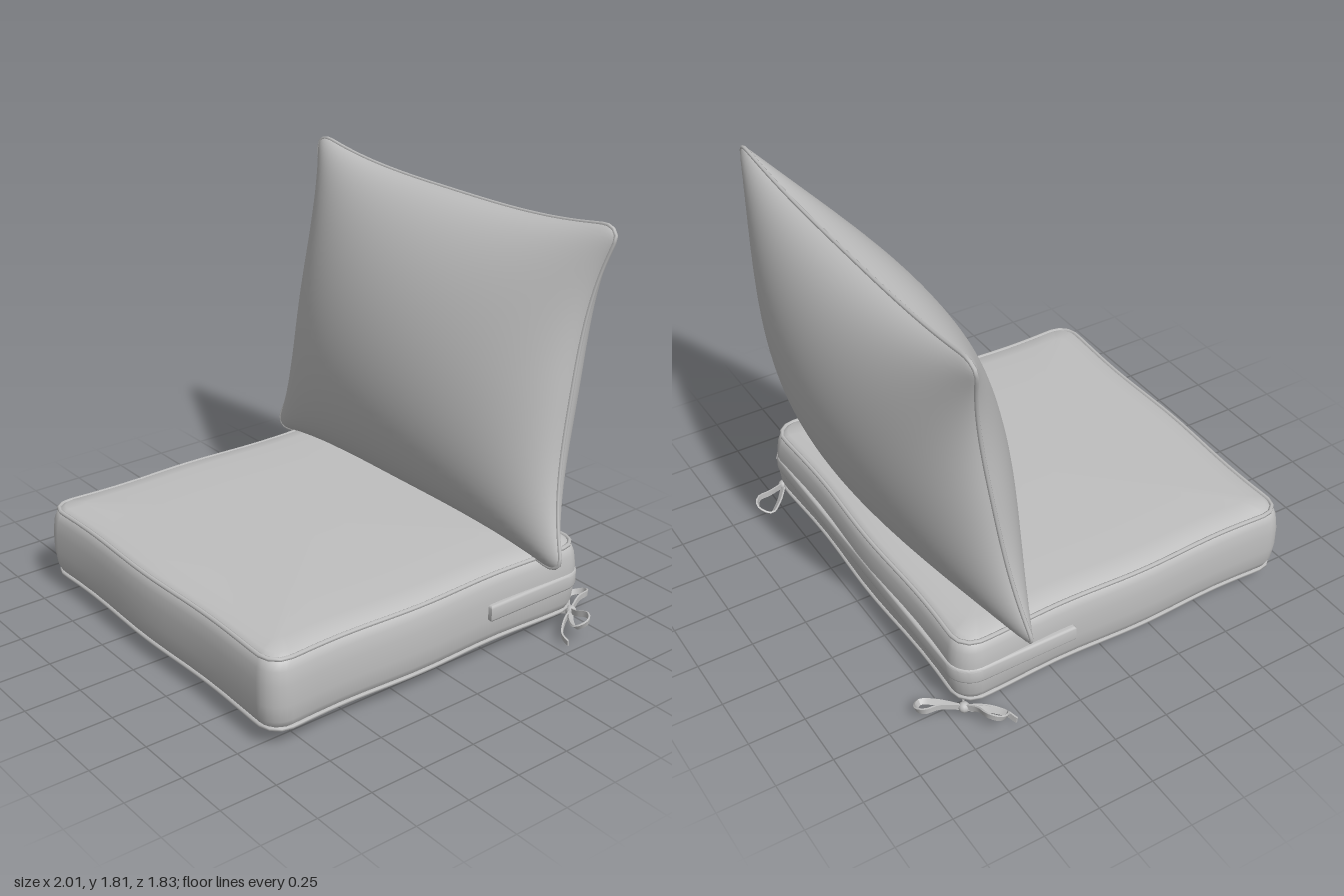
import * as THREE from 'three';
import { toCreasedNormals } from 'three/addons/utils/BufferGeometryUtils.js';

const fabric = new THREE.MeshStandardMaterial({ color: 0xbfbfbf });
fabric.name = 'grey fabric';

function add(parent, name, geometry) {
  const mesh = new THREE.Mesh(geometry, fabric);
  mesh.name = name;
  parent.add(mesh);
  return mesh;
}

function piping(points, radius) {
  const curve = new THREE.CatmullRomCurve3(points, true);
  return new THREE.TubeGeometry(curve, points.length * 2, radius, 6, true);
}

// ---- Seat: rounded-rectangle rings with slightly uneven edges ----
const HX = 0.85, HZ = 0.815, CZ = 0.09, CORNER = 0.1;

function seatRing(inset, y) {
  const points = [], r = Math.max(CORNER - inset * 0.6, 0.02);
  const hx = HX - inset, hz = HZ - inset, arc = 6, edge = 12;
  const signs = [[1, 1], [-1, 1], [-1, -1], [1, -1]];
  const corner = (q, k) => {
    const a = (q + k / arc) * Math.PI / 2;
    return [signs[q][0] * (hx - r) + r * Math.cos(a), signs[q][1] * (hz - r) + r * Math.sin(a)];
  };
  for (let q = 0; q < 4; q++) {
    for (let k = 0; k <= arc; k++) points.push(corner(q, k));
    const a = corner(q, arc), b = corner((q + 1) % 4, 0);
    for (let k = 1; k < edge; k++) {
      const t = k / edge;
      points.push([a[0] + (b[0] - a[0]) * t, a[1] + (b[1] - a[1]) * t]);
    }
  }
  return points.map(([x, z]) => new THREE.Vector3(
    x * (1 + 0.008 * Math.sin(z * 8 + 1)), y, CZ + z * (1 + 0.008 * Math.sin(x * 7 + 2))));
}

function seatGeometry() {
  const profile = [
    [0.8, 0.02], [0.4, 0.022], [0.2, 0.03], [0.1, 0.045], [0.05, 0.065], [0.02, 0.09], [0.003, 0.13],
    [-0.005, 0.2], [-0.005, 0.29], [0.002, 0.35], [0.015, 0.385], [0.045, 0.408], [0.12, 0.42],
    [0.4, 0.425], [0.8, 0.426],
  ];
  const rings = profile.map(([inset, y]) => seatRing(inset, y));
  const n = rings[0].length, positions = [], index = [];
  rings.flat().forEach((p) => positions.push(p.x, p.y, p.z));
  for (let i = 0; i < rings.length - 1; i++) {
    for (let j = 0; j < n; j++) {
      const a = i * n + j, b = i * n + (j + 1) % n;
      index.push(a, a + n, b, b, a + n, b + n);
    }
  }
  // Close the small middle openings
  const bottom = positions.length / 3, top = bottom + 1, last = (rings.length - 1) * n;
  positions.push(0, 0.02, CZ, 0, 0.426, CZ);
  for (let j = 0; j < n; j++) {
    const k = (j + 1) % n;
    index.push(bottom, j, k, top, last + k, last + j);
  }
  const g = new THREE.BufferGeometry();
  g.setAttribute('position', new THREE.Float32BufferAttribute(positions, 3));
  g.setIndex(index);
  g.computeVertexNormals();
  return g;
}

// Zip flap wrapping the back and part of both sides
function zipFlapGeometry() {
  const s = new THREE.Shape();
  const x = 0.858, z = 0.728, r = 0.1, t = 0.04;
  s.moveTo(x, 0.2);
  s.lineTo(x, z - r);
  s.absarc(x - r, z - r, r, 0, Math.PI / 2, false);
  s.lineTo(-x + r, z);
  s.absarc(-x + r, z - r, r, Math.PI / 2, Math.PI, false);
  s.lineTo(-x, 0.2);
  s.lineTo(-x + t, 0.2);
  s.lineTo(-x + t, z - r);
  s.absarc(-x + r, z - r, r - t, Math.PI, Math.PI / 2, true);
  s.lineTo(x - r, z - t);
  s.absarc(x - r, z - r, r - t, Math.PI / 2, 0, true);
  s.lineTo(x - t, 0.2);
  const g = new THREE.ExtrudeGeometry(s, {
    depth: 0.05, bevelSize: 0.012, bevelThickness: 0.012, bevelSegments: 3, curveSegments: 8,
  });
  g.rotateX(-Math.PI / 2).translate(0, 0.212, 0);
  return toCreasedNormals(g, 0.7);
}

// ---- Ties: flat ribbon swept along a path, mirrored by side ----
function ribbon(points, side) {
  const w = 0.013, t = 0.004;
  const section = new THREE.Shape([[-w, -t], [w, -t], [w, t], [-w, t]].map((p) => new THREE.Vector2(...p)));
  const path = new THREE.CatmullRomCurve3(points.map(([x, y, z]) => new THREE.Vector3(x * side, y, z)));
  const g = new THREE.ExtrudeGeometry(section, { steps: 24, extrudePath: path });
  return toCreasedNormals(g, 0.6);
}

function bow(side) {
  const group = new THREE.Group();
  group.name = side > 0 ? 'leftTie' : 'rightTie';
  add(group, 'sideLoop', ribbon([[0.83, 0.06, -0.7], [0.89, 0.085, -0.67], [0.96, 0.11, -0.665],
    [0.995, 0.105, -0.63], [0.975, 0.085, -0.585], [0.91, 0.07, -0.62], [0.83, 0.055, -0.7]], side));
  add(group, 'backLoop', ribbon([[0.83, 0.06, -0.7], [0.79, 0.075, -0.79], [0.78, 0.075, -0.85],
    [0.74, 0.06, -0.87], [0.695, 0.04, -0.83], [0.74, 0.045, -0.77], [0.83, 0.055, -0.7]], side));
  add(group, 'outerTail', ribbon([[0.83, 0.06, -0.7], [0.87, 0.05, -0.62], [0.92, 0.03, -0.56], [0.975, 0.025, -0.54]], side));
  add(group, 'innerTail', ribbon([[0.83, 0.06, -0.7], [0.75, 0.04, -0.66], [0.65, 0.02, -0.6], [0.55, 0.014, -0.56]], side));
  const knot = add(group, 'knot', new THREE.SphereGeometry(0.024, 12, 8));
  knot.position.set(0.83 * side, 0.06, -0.7);
  return group;
}

// ---- Back pillow: pinched corners, bulging faces ----
function pillowPoint(u, v) {
  const width = 0.862 + 0.11 * Math.abs(v) ** 3 - 0.012 * v;
  const height = 0.665 + 0.065 * Math.abs(u) ** 3;
  const bulge = 0.32 * Math.max(0, (1 - u * u) * (1 - v * v)) ** 0.53;
  return new THREE.Vector3(u * width * (1 - 0.035 * v ** 40), v * height * (1 - 0.035 * u ** 40), bulge);
}

function pillowFace() {
  const g = new THREE.PlaneGeometry(2, 2, 44, 44), p = g.attributes.position;
  const ease = (t) => Math.sin(t * Math.PI / 2);
  for (let i = 0; i < p.count; i++) {
    const q = pillowPoint(ease(p.getX(i)), ease(p.getY(i)));
    p.setXYZ(i, q.x, q.y, q.z);
  }
  g.computeVertexNormals();
  return g;
}

function pillowEdge() {
  const points = [], n = 28;
  const ease = (k) => Math.sin((k / n - 0.5) * Math.PI);
  for (let k = 0; k < n; k++) points.push(pillowPoint(ease(k), -1));
  for (let k = 0; k < n; k++) points.push(pillowPoint(1, ease(k)));
  for (let k = 0; k < n; k++) points.push(pillowPoint(-ease(k), 1));
  for (let k = 0; k < n; k++) points.push(pillowPoint(-1, -ease(k)));
  return points;
}

export function createModel() {
  const model = new THREE.Group();
  model.name = 'chairCushions';

  const seat = new THREE.Group();
  seat.name = 'seatCushion';
  add(seat, 'seatBody', seatGeometry());
  add(seat, 'topPiping', piping(seatRing(0.02, 0.393), 0.01));
  add(seat, 'bottomPiping', piping(seatRing(0.016, 0.09), 0.01));
  add(seat, 'zipFlap', zipFlapGeometry());
  seat.add(bow(1), bow(-1));

  const pillow = new THREE.Group();
  pillow.name = 'backPillow';
  add(pillow, 'pillowFront', pillowFace());
  add(pillow, 'pillowBack', pillowFace()).rotation.y = Math.PI;
  add(pillow, 'pillowPiping', piping(pillowEdge(), 0.009));
  pillow.position.set(0, 1.095, -0.58);
  pillow.rotation.x = -0.165;

  model.add(seat, pillow);
  return model;
}
